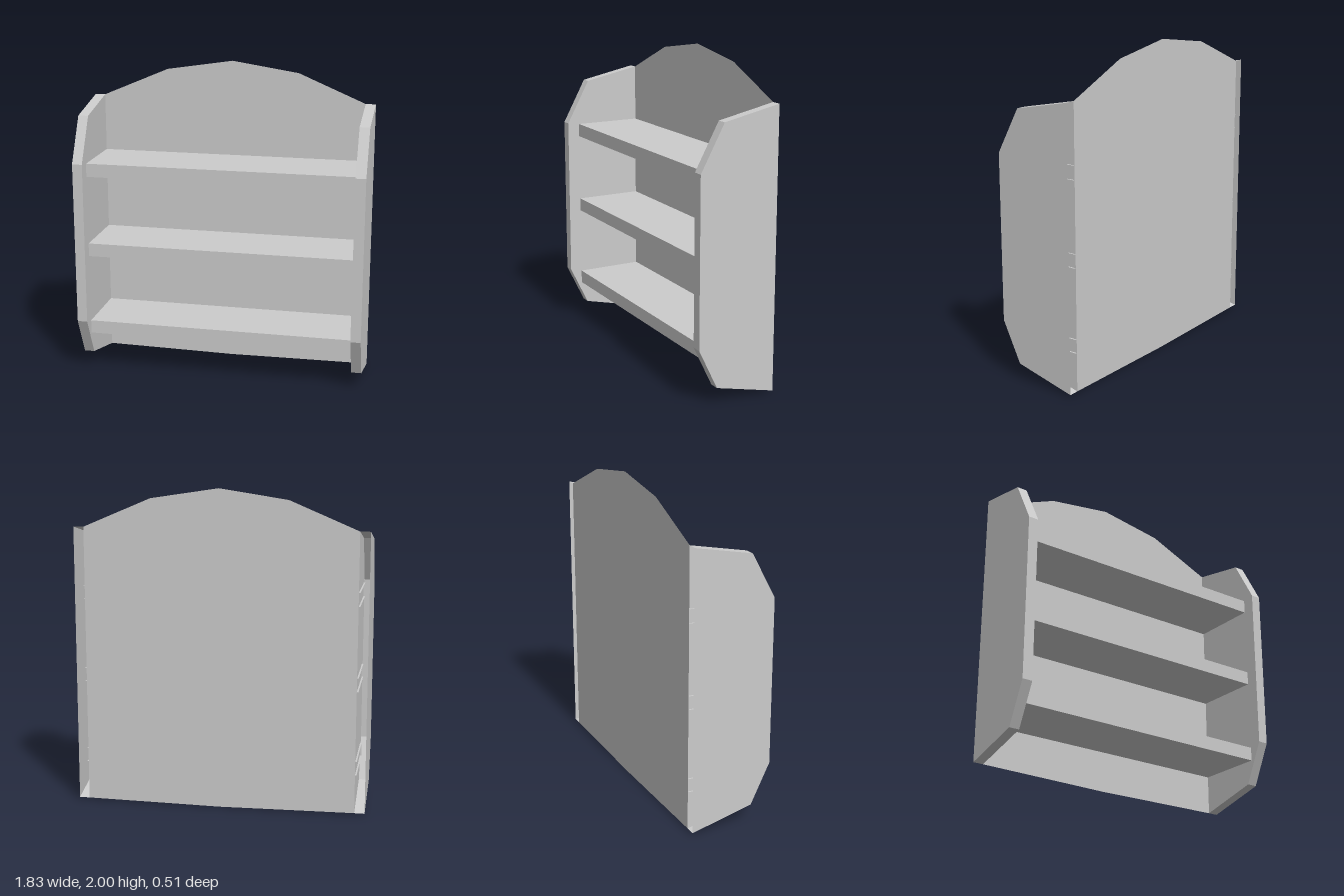
import * as THREE from 'three';
import { mergeGeometries } from 'three/addons/utils/BufferGeometryUtils.js';

const material = new THREE.MeshStandardMaterial({
  color: 0xcccccc, flatShading: true, side: THREE.DoubleSide,
});

const BACK = -0.257;   // plane of the back board
const INNER = 0.85;    // inner face of a side panel
const OUTER = 0.914;   // outer face of a side panel

function part(name, geometry) {
  const mesh = new THREE.Mesh(geometry, material);
  mesh.name = name;
  return mesh;
}

// Flat polygon in the xy plane
function sheet(points) {
  const shape = new THREE.Shape(points.map(([x, y]) => new THREE.Vector2(x, y)));
  return new THREE.ShapeGeometry(shape).toNonIndexed();
}

// Open [z, y] profile drawn out along x from x0 to x1
function strip(profile, x0, x1) {
  const positions = [], uvs = [];
  for (let i = 0; i < profile.length - 1; i++) {
    const [z0, y0] = profile[i], [z1, y1] = profile[i + 1];
    positions.push(x0, y0, z0, x0, y1, z1, x1, y1, z1);
    positions.push(x0, y0, z0, x1, y1, z1, x1, y0, z0);
    uvs.push(0, 0, 0, 1, 1, 1, 0, 0, 1, 1, 1, 0);
  }
  const geometry = new THREE.BufferGeometry();
  geometry.setAttribute('position', new THREE.Float32BufferAttribute(positions, 3));
  geometry.setAttribute('uv', new THREE.Float32BufferAttribute(uvs, 2));
  geometry.computeVertexNormals();
  return geometry;
}

// Hollow side panel: two faces and a rim, open along the back
function sidePanel(x0, x1) {
  const profile = [
    [BACK, 1.755], [0.105, 1.68], [0.257, 1.4],
    [0.257, 0.36], [0.135, 0.107], [BACK, 0.01],
  ];
  const right = sheet(profile.map(([z, y]) => [-z, y])).rotateY(Math.PI / 2).translate(x1, 0, 0);
  const left = sheet(profile).rotateY(-Math.PI / 2).translate(x0, 0, 0);
  return mergeGeometries([left, right, strip(profile, x0, x1)]);
}

export function createModel() {
  const model = new THREE.Group();
  model.name = 'wallShelf';

  // Side panels
  model.add(part('leftPanel', sidePanel(INNER, OUTER)));
  model.add(part('rightPanel', sidePanel(-OUTER, -INNER)));

  // Thin back board with a faceted arch on top and a barely bowed lower edge
  const board = sheet([
    [-INNER, 0.01], [-0.32, 0.004], [0, 0], [0.32, 0.004], [INNER, 0.01],
    [INNER, 1.755], [0.425, 1.935], [0, 2], [-0.425, 1.935], [-INNER, 1.755],
  ]).translate(0, 0, BACK);
  model.add(part('backBoard', board));

  // Shelves: top, front and underside, with ends let slightly into the panels
  const half = INNER + 0.01;
  [0.255, 0.78, 1.304].forEach((y, i) => {
    const top = y + 0.085;
    const profile = [[BACK, top], [0.177, top], [0.177, y], [BACK, y]];
    model.add(part(`shelf${i + 1}`, strip(profile, -half, half)));
  });

  return model;
}
